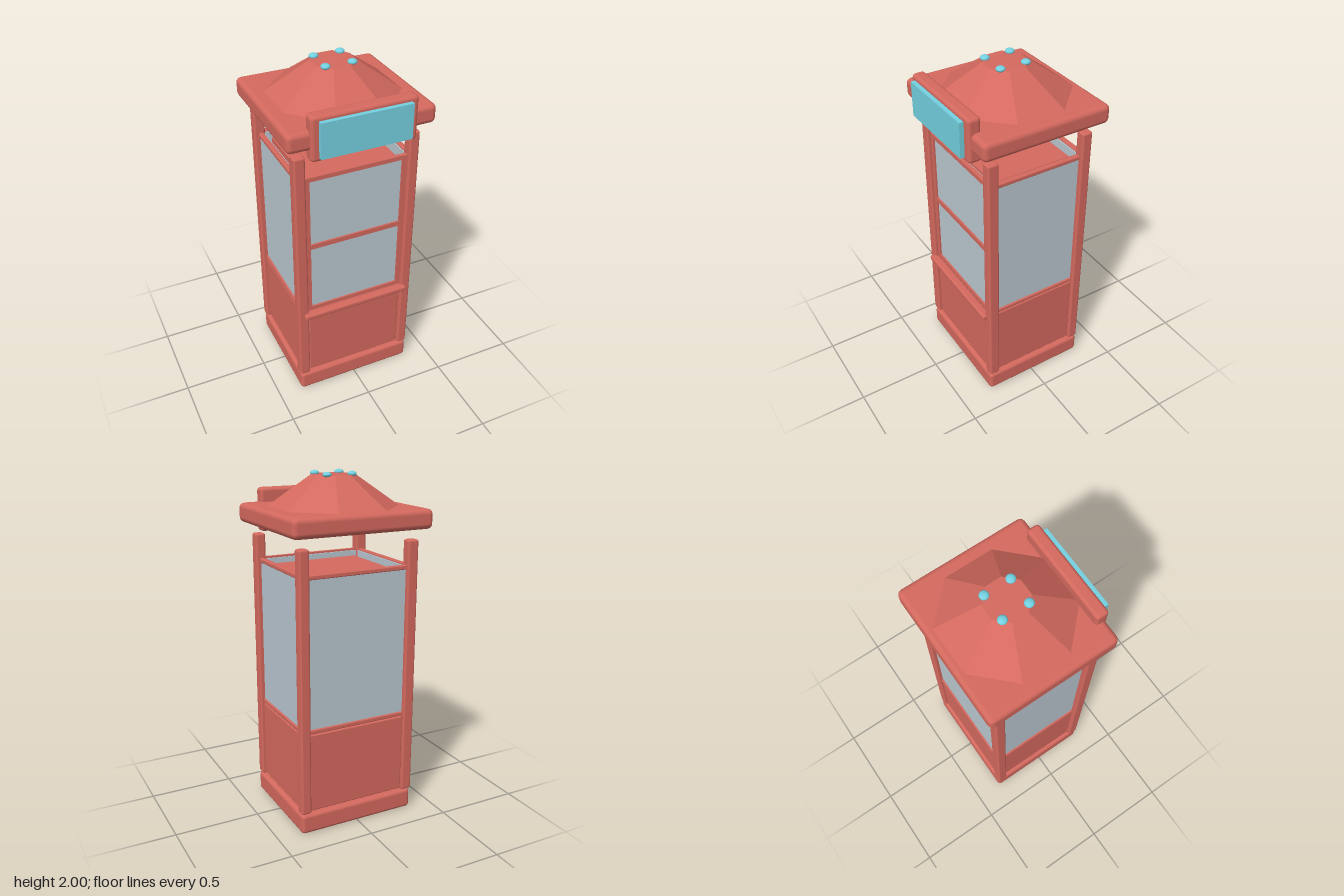
import * as THREE from 'three';
import { RoundedBoxGeometry } from 'three/addons/geometries/RoundedBoxGeometry.js';

const red = new THREE.MeshStandardMaterial({ color: 0xd4695e });
const redFlat = new THREE.MeshStandardMaterial({ color: 0xd4695e, flatShading: true });
const cyan = new THREE.MeshStandardMaterial({ color: 0x74d0e0 });
const glass = new THREE.MeshStandardMaterial({ color: 0xbac7d0 });

const ZC = -0.02; // centre of the cabin, set back to leave room for the sign

export function createModel() {
  const model = new THREE.Group();
  model.name = 'phoneBooth';

  const add = (name, geometry, material, x, y, z) => {
    const mesh = new THREE.Mesh(geometry, material);
    mesh.name = name;
    mesh.position.set(x, y, z);
    model.add(mesh);
    return mesh;
  };
  // Box given by its limits on each axis; a radius rounds its edges
  const box = (name, [x0, x1], [y0, y1], [z0, z1], material = red, radius = 0) => {
    const size = [x1 - x0, y1 - y0, z1 - z0];
    const geometry = radius ? new RoundedBoxGeometry(...size, 2, radius) : new THREE.BoxGeometry(...size);
    return add(name, geometry, material, (x0 + x1) / 2, (y0 + y1) / 2, (z0 + z1) / 2);
  };

  // Base and corner posts
  box('base', [-0.36, 0.36], [0, 0.12], [-0.34, 0.305], red, 0.022);
  for (const s of [-1, 1]) {
    const xs = s < 0 ? [-0.365, -0.3] : [0.3, 0.36];
    box('frontPost', xs, [0.125, 1.64], [0.24, 0.305], red, 0.012);
    box('backPost', xs, [0.125, 1.64], [-0.34, -0.278], red, 0.012);
  }

  // Side walls: lower panel, glass and rails
  for (const s of [-1, 1]) {
    const span = (a, b) => (s < 0 ? [-b, -a] : [a, b]);
    box('sidePanel', span(0.3, 0.34), [0.13, 0.6], [-0.28, 0.242], red, 0.008);
    box('sideGlass', span(0.305, 0.332), [0.62, 1.49], [-0.28, 0.242], glass);
    box('sideBottomRail', span(0.312, 0.342), [0.605, 0.63], [-0.28, 0.242], red, 0.006);
    box('sideTopRail', span(0.312, 0.342), [1.475, 1.5], [-0.28, 0.242], red, 0.006);
  }

  // Back wall
  box('backPanel', [-0.302, 0.302], [0.13, 0.6], [-0.322, -0.282], red, 0.008);
  box('backGlass', [-0.302, 0.302], [0.62, 1.49], [-0.314, -0.287], glass);
  for (const y of [0.605, 1.475]) {
    box('backRail', [-0.302, 0.302], [y, y + 0.025], [-0.324, -0.294], red, 0.006);
  }

  // Front door: lower panel, framed glass and sill
  box('doorPanel', [-0.296, 0.296], [0.13, 0.6], [0.245, 0.287], red, 0.008);
  box('doorGlass', [-0.302, 0.302], [0.6, 1.49], [0.25, 0.274], glass);
  for (const [y0, y1] of [[0.605, 0.63], [1.04, 1.07], [1.475, 1.5]]) {
    box('doorRail', [-0.302, 0.302], [y0, y1], [0.26, 0.284], red);
  }
  for (const x of [-0.302, 0.272]) {
    box('doorStile', [x, x + 0.03], [0.61, 1.5], [0.26, 0.284], red);
  }
  box('sill', [-0.33, 0.325], [0.57, 0.605], [0.28, 0.33], red, 0.012);

  // Ceiling plate inside the glass
  box('ceiling', [-0.27, 0.27], [1.43, 1.465], [-0.26, 0.22], red);

  // Roof slab and octagonal roof
  box('roofSlab', [-0.418, 0.418], [1.7, 1.81], [-0.4, 0.36], red, 0.03);
  const roof = new THREE.CylinderGeometry(0.1225, 0.3735, 0.175, 8);
  roof.rotateY(Math.PI / 8);
  add('roof', roof, redFlat, 0, 1.8925, ZC);

  // Roof lamps
  for (const x of [-0.076, 0.076]) {
    for (const z of [-0.076, 0.076]) {
      const lamp = add('roofLamp', new THREE.SphereGeometry(0.026, 20, 14), cyan, x, 1.985, ZC + z);
      lamp.scale.y = 0.58;
    }
  }

  // Sign
  box('signFrame', [-0.297, 0.297], [1.64, 1.89], [0.3, 0.375], red, 0.02);
  box('signFace', [-0.255, 0.255], [1.665, 1.865], [0.36, 0.4], cyan);

  return model;
}
